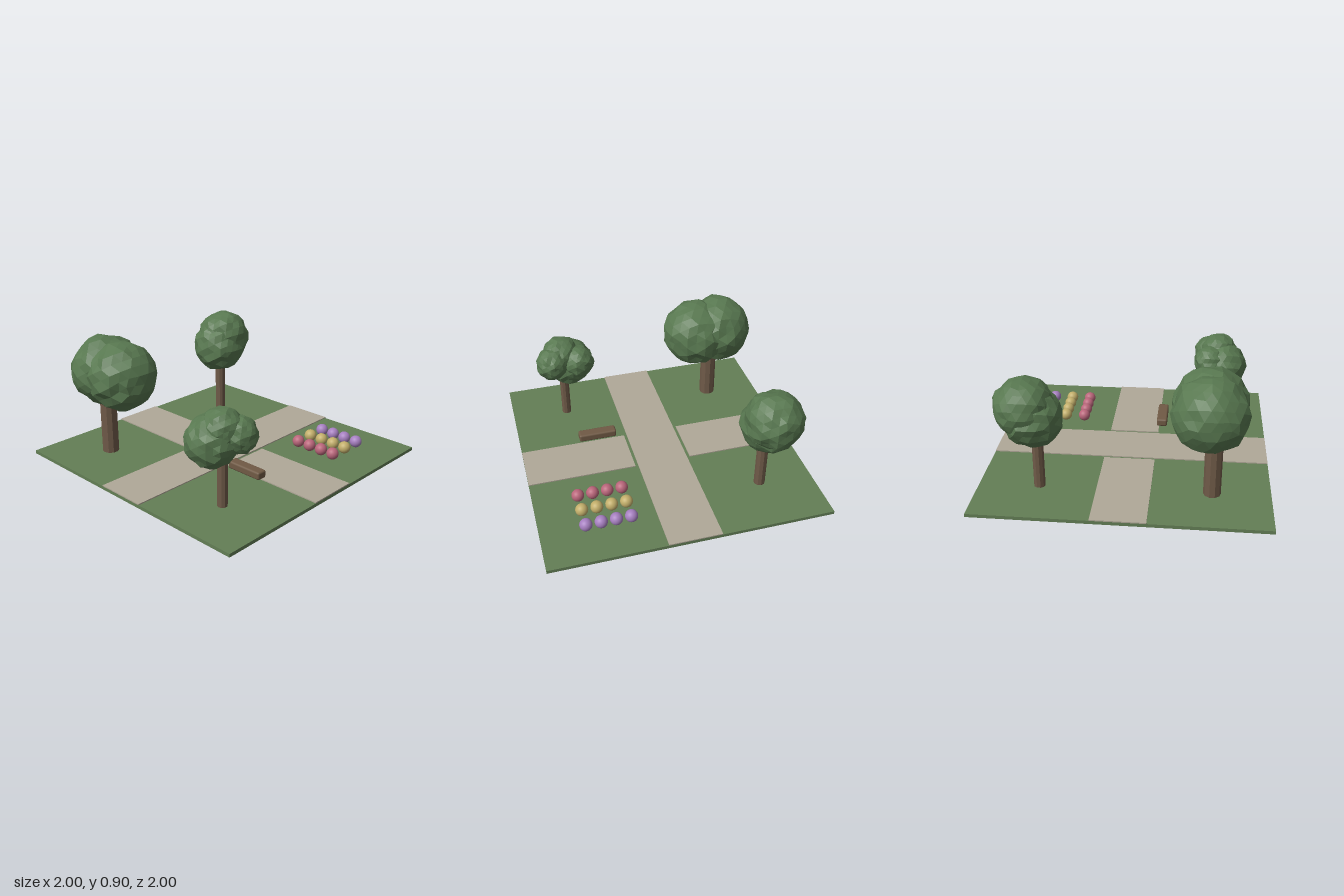
import * as THREE from 'three';
import { RoundedBoxGeometry } from 'three/addons/geometries/RoundedBoxGeometry.js';

const paint = (name, color, flatShading = false) => {
  const m = new THREE.MeshStandardMaterial({ color, flatShading });
  m.name = name;
  return m;
};

export function createModel() {
  const park = new THREE.Group();
  park.name = 'park';
  const grass = paint('grass green', 0x637e55);
  const stone = paint('path stone', 0xb0a898);
  const bark = paint('bark brown', 0x6f5a48, true);
  const wood = paint('bench wood', 0x705a45);
  const leaf = paint('leaf green', 0x587850, true);
  const petals = [
    paint('purple petals', 0xa67fc0),
    paint('yellow petals', 0xc2ae6a),
    paint('red petals', 0xb9657a),
  ];

  const add = (parent, name, geometry, material, x, y, z) => {
    const mesh = new THREE.Mesh(geometry, material);
    mesh.name = name;
    mesh.position.set(x, y, z);
    parent.add(mesh);
    return mesh;
  };

  // Lawn and slightly raised paths
  const lawnTop = 0.024;
  add(park, 'lawn', new THREE.BoxGeometry(2, lawnTop, 2), grass, 0, lawnTop / 2, 0);
  add(park, 'mainPath', new THREE.BoxGeometry(0.375, 0.008, 2), stone, 0, lawnTop + 0.004, 0);
  for (const s of [-1, 1]) {
    add(park, 'sidePath', new THREE.BoxGeometry(0.79, 0.008, 0.37), stone, s * 0.605, lawnTop + 0.004, 0);
  }

  // Faceted leaf clump: a sphere with uneven radius
  const clump = (radius, seed) => {
    const g = new THREE.IcosahedronGeometry(radius, 3);
    const p = g.attributes.position;
    const v = new THREE.Vector3();
    for (let i = 0; i < p.count; i++) {
      v.fromBufferAttribute(p, i).normalize();
      const n = Math.sin(v.x * 7 + seed) * Math.sin(v.y * 8 + seed * 2) * 0.04
        + Math.sin(v.x * 17 + v.y * 23 + v.z * 19 + seed * 3) * 0.035;
      v.multiplyScalar(radius * (1 + n));
      p.setXYZ(i, v.x, v.y, v.z);
    }
    g.computeVertexNormals();
    return g;
  };

  // Trees: trunk [x, z, radius, top] and crown clumps [x, y, z, radius]
  const trees = [
    { trunk: [-0.605, 0.6, 0.06, 0.55], crown: [[-0.65, 0.645, 0.565, 0.252], [-0.475, 0.635, 0.565, 0.25]] },
    { trunk: [-0.61, -0.58, 0.04, 0.5], crown: [[-0.64, 0.635, -0.65, 0.203], [-0.635, 0.565, -0.595, 0.203]] },
    {
      trunk: [0.58, 0.625, 0.035, 0.5],
      crown: [[0.525, 0.48, 0.66, 0.18], [0.585, 0.575, 0.63, 0.135], [0.665, 0.535, 0.565, 0.123], [0.47, 0.53, 0.56, 0.12]],
    },
  ];
  trees.forEach(({ trunk: [x, z, r, top], crown }, t) => {
    const tree = new THREE.Group();
    tree.name = 'tree';
    const h = top - lawnTop;
    add(tree, 'trunk', new THREE.CylinderGeometry(r, r, h, 10), bark, x, lawnTop + h / 2, z);
    crown.forEach(([cx, cy, cz, cr], i) => add(tree, 'leafClump', clump(cr, t * 3 + i * 1.7 + 1), leaf, cx, cy, cz));
    park.add(tree);
  });

  // Bench beside the path
  add(park, 'bench', new RoundedBoxGeometry(0.285, 0.058, 0.08, 2, 0.014), wood, 0.413, 0.077, 0.208);

  // Flower bed: three rows of round blooms
  const bed = new THREE.Group();
  bed.name = 'flowerBed';
  const bloom = new THREE.SphereGeometry(0.045, 20, 14);
  petals.forEach((material, row) => {
    for (let i = 0; i < 4; i++) {
      add(bed, 'flower', bloom, material, 0.37 + i * 0.105, 0.069, -0.71 + row * 0.146);
    }
  });
  park.add(bed);
  return park;
}
